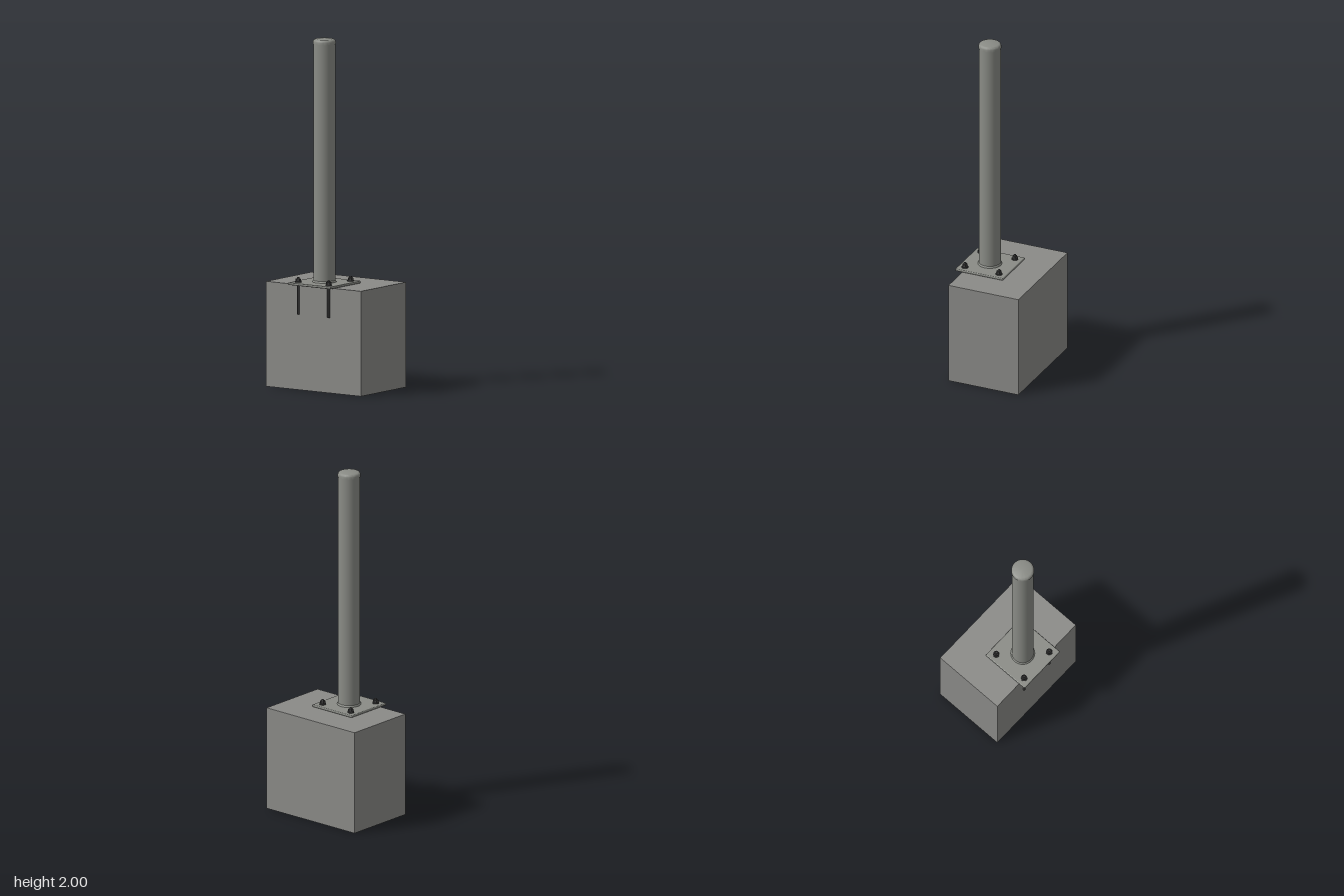
import * as THREE from 'three';
import { RoundedBoxGeometry } from 'three/addons/geometries/RoundedBoxGeometry.js';
import { toCreasedNormals } from 'three/addons/utils/BufferGeometryUtils.js';

const concrete = new THREE.MeshStandardMaterial({ name: 'concrete', color: 0x8a8a87 });
const steel = new THREE.MeshStandardMaterial({ name: 'paintedSteel', color: 0x8a8c86 });
const darkSteel = new THREE.MeshStandardMaterial({ name: 'darkSteel', color: 0x3c3c3c });

const BLOCK_TOP = 0.6;
const PLATE_TOP = 0.614;
const POST_Z = 0.09;

function add(parent, name, geometry, material, x = 0, y = 0, z = 0) {
  const mesh = new THREE.Mesh(geometry, material);
  mesh.name = name;
  mesh.position.set(x, y, z);
  parent.add(mesh);
  return mesh;
}

// Turned part from [radius, height] points, keeping hard edges sharp
function turned(points, sides = 48) {
  const profile = points.map(([r, y]) => new THREE.Vector2(r, y));
  return toCreasedNormals(new THREE.LatheGeometry(profile, sides), 0.6);
}

// Threaded rod set in the block, with washer, nut and exposed tip
function createAnchor() {
  const anchor = new THREE.Group();
  anchor.name = 'anchorBolt';
  add(anchor, 'rod', turned([[0, 0.43], [0.008, 0.43], [0.008, 0.64], [0.006, 0.643], [0, 0.643]], 20), darkSteel);
  add(anchor, 'washer', turned([
    [0.008, PLATE_TOP], [0.019, PLATE_TOP], [0.019, 0.619], [0.008, 0.619],
  ], 28), darkSteel);
  const nut = new THREE.CylinderGeometry(0.015, 0.016, 0.015, 6);
  add(anchor, 'nut', toCreasedNormals(nut, 0.5), darkSteel, 0, 0.6265, 0);
  return anchor;
}

export function createModel() {
  const model = new THREE.Group();
  model.name = 'postOnFoundation';

  // Foundation
  add(model, 'foundationBlock', new THREE.BoxGeometry(0.66, BLOCK_TOP, 0.435), concrete, 0, BLOCK_TOP / 2, -0.0225);

  // Base plate overhanging the front edge
  const plate = new RoundedBoxGeometry(0.297, PLATE_TOP - BLOCK_TOP, 0.297, 3, 0.005);
  add(model, 'basePlate', plate, steel, 0, (PLATE_TOP + BLOCK_TOP) / 2, POST_Z);

  // Post, weld bead and rounded cap
  add(model, 'post', new THREE.CylinderGeometry(0.062, 0.062, 1.366, 48, 1, true), steel, 0, 1.297, POST_Z);
  add(model, 'weldBead', turned([
    [0.068, PLATE_TOP], [0.067, 0.618], [0.064, 0.622], [0.061, 0.624],
  ]), steel, 0, 0, POST_Z);
  add(model, 'cap', turned([
    [0.061, 1.973], [0.0645, 1.973], [0.0645, 1.985], [0.0625, 1.992],
    [0.058, 1.997], [0.05, 2], [0, 2],
  ]), steel, 0, 0, POST_Z);

  // Four anchors around the post
  for (const x of [-0.106, 0.106]) {
    for (const z of [-0.106, 0.106]) {
      const anchor = createAnchor();
      anchor.position.set(x, 0, POST_Z + z);
      model.add(anchor);
    }
  }
  return model;
}
